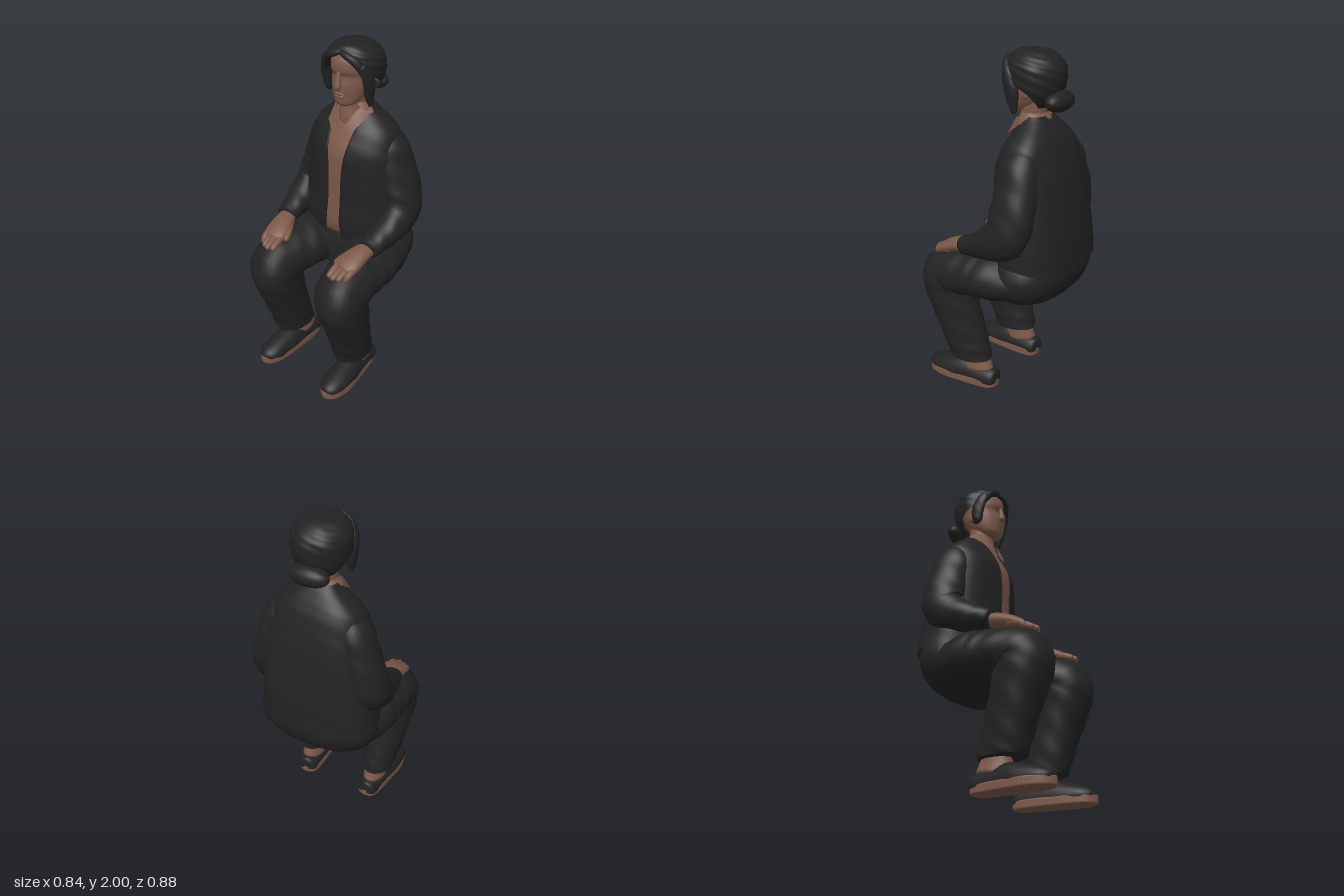
import * as THREE from 'three';
import { mergeVertices } from 'three/addons/utils/BufferGeometryUtils.js';

const cloth = new THREE.MeshStandardMaterial({ color: 0x222222, side: THREE.DoubleSide });
cloth.name = 'black cloth and hair';
const skin = new THREE.MeshStandardMaterial({ color: 0x7b5848, side: THREE.DoubleSide });
skin.name = 'warm brown';

// Smooth loft through elliptical sections [x, y, z, radiusX, radiusOther, frontGapAngle].
// Rings follow the path, or stay level when level is set; back < 1 squares the rear half.
function loft(sections, opts = {}) {
  const { n = 28, steps = 4, level = false, open = false, fold = 0, freq = 3, back = 1 } = opts;
  const curve = (f) => new THREE.CatmullRomCurve3(sections.map(f), false, 'catmullrom', 0.5);
  const path = curve((s) => new THREE.Vector3(s[0], s[1], s[2]));
  const size = curve((s) => new THREE.Vector3(s[3], s[4], s[5] || 0));
  const m = (sections.length - 1) * steps;
  const pos = [], idx = [], X = new THREE.Vector3(1, 0, 0);
  for (let i = 0; i <= m; i++) {
    const p = path.getPoint(i / m), s = size.getPoint(i / m);
    const t = level ? new THREE.Vector3(0, 1, 0) : path.getTangent(i / m);
    const a = X.clone().addScaledVector(t, -t.x).normalize();
    const b = t.clone().cross(a);
    const gap = Math.max(0, s.z);
    for (let j = 0; j <= n; j++) {
      const q = -Math.PI / 2 + gap + (j / n) * 2 * (Math.PI - gap);
      const k = 1 + fold * Math.sin(freq * q + i * 0.9) * Math.sin(i * 0.7);
      const e = Math.sin(q) > 0 ? back : 1;
      const c = Math.sign(Math.cos(q)) * Math.abs(Math.cos(q)) ** e;
      const d = Math.sign(Math.sin(q)) * Math.abs(Math.sin(q)) ** e;
      const v = p.clone().addScaledVector(a, c * s.x * k).addScaledVector(b, d * s.y * k);
      pos.push(v.x, v.y, v.z);
    }
  }
  const w = n + 1;
  for (let i = 0; i < m; i++) for (let j = 0; j < n; j++) {
    const c = i * w + j;
    idx.push(c, c + 1, c + w, c + 1, c + w + 1, c + w);
  }
  if (!open) for (const i of [0, m]) {
    const p = path.getPoint(i / m), c = pos.length / 3;
    pos.push(p.x, p.y, p.z);
    for (let j = 0; j < n; j++) {
      const d = i * w + j;
      if (i) idx.push(d, d + 1, c); else idx.push(d + 1, d, c);
    }
  }
  const g = new THREE.BufferGeometry();
  g.setAttribute('position', new THREE.Float32BufferAttribute(pos, 3));
  g.setIndex(idx);
  const merged = mergeVertices(g, 1e-5);
  merged.computeVertexNormals();
  return merged;
}

// Flattens everything below a height
function flatBottom(geo, y) {
  const v = geo.attributes.position;
  for (let i = 0; i < v.count; i++) v.setY(i, Math.max(v.getY(i), y));
  geo.computeVertexNormals();
  return geo;
}

// Level section from height, front z, back z, half width, front gap and sideways shift
const ring = (y, front, back, w, gap = 0, x = 0) => [x, y, (front + back) / 2, w, (front - back) / 2, gap];

export function createModel() {
  const model = new THREE.Group();
  const add = (name, geo, mat, parent = model) => {
    const mesh = new THREE.Mesh(geo, mat);
    mesh.name = name;
    parent.add(mesh);
    return mesh;
  };
  const ball = (name, mat, p, r, parent) => {
    const mesh = add(name, new THREE.SphereGeometry(1, 24, 16), mat, parent);
    mesh.position.set(...p);
    mesh.scale.set(...r);
  };
  const flip = (s, list) => list.map(([x, ...rest]) => [x * s, ...rest]);

  // Torso: open jacket over a shirt
  const torso = [
    ring(0.82, 0.015, -0.434, 0.35, 0.18, -0.018), ring(0.95, 0.035, -0.43, 0.342, 0.15, -0.012),
    ring(1.1, 0.03, -0.415, 0.325, 0.145, -0.006), ring(1.3, 0.03, -0.385, 0.298, 0.17),
    ring(1.4, 0.02, -0.36, 0.285, 0.225), ring(1.5, -0.025, -0.328, 0.255, 0.31),
    ring(1.56, -0.06, -0.298, 0.2, 0.47), ring(1.62, -0.09, -0.26, 0.125, 1.0),
    ring(1.65, -0.11, -0.235, 0.095, 1.25),
  ];
  add('jacketBody', loft(torso, { level: true, open: true, n: 56, fold: 0.008, freq: 5, back: 0.74 }), cloth);
  const shirt = torso.slice(0, 8).map(([x, y, z, w, d]) => [x, Math.max(y, 0.865), z, w - 0.012, d - 0.007]);
  add('shirt', loft(shirt, { level: true, n: 40 }), skin);

  // Jacket front edges
  for (const s of [-1, 1]) {
    const edge = torso.slice(0, 8).map(([x, y, z, w, d, g]) =>
      new THREE.Vector3(x + s * w * Math.sin(g), y, z + d * Math.cos(g)));
    add('jacketEdge', new THREE.TubeGeometry(new THREE.CatmullRomCurve3(edge), 40, 0.005, 6), cloth);
  }

  // Seat of the trousers
  add('trouserSeat', loft([
    ring(0.615, -0.12, -0.28, 0.16), ring(0.64, 0.02, -0.36, 0.29), ring(0.7, 0.035, -0.405, 0.345),
    ring(0.78, 0.03, -0.428, 0.362), ring(0.85, 0.01, -0.42, 0.34), ring(0.92, -0.03, -0.39, 0.29),
  ], { level: true, n: 40, back: 0.8 }), cloth);

  // Collar: band around the neck and two pointed flaps
  add('collarBand', loft([ring(1.6, -0.06, -0.262, 0.125, 0.9), ring(1.63, -0.07, -0.252, 0.112, 0.8),
    ring(1.665, -0.085, -0.225, 0.085, 0.7)], { level: true, open: true }), skin);
  for (const s of [-1, 1]) {
    const p = flip(s, [[0.088, 1.662, -0.16], [0.07, 1.63, -0.075], [0.004, 1.515, -0.025],
      [0.045, 1.483, -0.01], [0.098, 1.55, -0.042], [0.13, 1.615, -0.15]]);
    const g = new THREE.BufferGeometry();
    g.setAttribute('position', new THREE.Float32BufferAttribute(p.flat(), 3));
    const order = [0, 5, 1, 1, 5, 4, 1, 4, 2, 2, 4, 3];
    g.setIndex(s < 0 ? order : order.reverse());
    g.computeVertexNormals();
    add('collarFlap', g, skin);
  }

  for (const s of [-1, 1]) {
    const side = s > 0 ? 'left' : 'right';

    // Sleeve
    const arm = new THREE.Group();
    arm.name = side + 'Arm';
    model.add(arm);
    add('sleeve', loft(flip(s, [
      [0.12, 1.5, -0.19, 0.02, 0.04], [0.2, 1.43, -0.2, 0.09, 0.11], [0.25, 1.3, -0.208, 0.098, 0.125],
      [0.297, 1.15, -0.21, 0.102, 0.13], [0.32, 1.04, -0.18, 0.099, 0.124], [0.318, 0.975, -0.06, 0.087, 0.09],
      [0.305, 0.94, 0.04, 0.073, 0.068], [0.3, 0.918, 0.115, 0.06, 0.055],
    ]), { fold: 0.045, n: 32 }), cloth, arm);

    // Hand resting on the thigh
    add('palm', loft(flip(s, [[0.3, 0.92, 0.08, 0.044, 0.04], [0.28, 0.907, 0.16, 0.062, 0.042],
      [0.264, 0.88, 0.24, 0.074, 0.036], [0.26, 0.858, 0.29, 0.062, 0.022]])), skin, arm);
    const fingers = [[0.315, 0.305, 0.325], [0.282, 0.273, 0.35], [0.25, 0.242, 0.362], [0.216, 0.21, 0.352]];
    for (const [x0, x1, z] of fingers) {
      add('finger', loft(flip(s, [[x0, 0.876, 0.22, 0.02, 0.024], [(x0 + x1) / 2, 0.86, 0.285, 0.021, 0.022],
        [x1, 0.838, z - 0.015, 0.018, 0.018], [x1, 0.828, z, 0.008, 0.008]]), { n: 12 }), skin, arm);
    }
    add('thumb', loft(flip(s, [[0.25, 0.905, 0.14, 0.026, 0.024], [0.212, 0.885, 0.2, 0.024, 0.022],
      [0.188, 0.865, 0.245, 0.018, 0.018], [0.182, 0.858, 0.262, 0.006, 0.006]]), { n: 12 }), skin, arm);

    // Trouser leg, bent at the knee, with a level hem
    const leg = new THREE.Group();
    leg.name = side + 'Leg';
    model.add(leg);
    const trouser = loft(flip(s, [
      [0.19, 0.75, -0.27, 0.15, 0.11], [0.21, 0.75, -0.07, 0.186, 0.145], [0.219, 0.742, 0.05, 0.182, 0.146],
      [0.234, 0.728, 0.16, 0.165, 0.142], [0.245, 0.688, 0.278, 0.15, 0.155], [0.247, 0.6, 0.266, 0.142, 0.162],
      [0.245, 0.45, 0.222, 0.126, 0.146], [0.238, 0.3, 0.177, 0.112, 0.138], [0.234, 0.2, 0.145, 0.1, 0.136],
      [0.232, 0.13, 0.127, 0.092, 0.13],
    ]), { fold: 0.04, n: 36 });
    add('trouserLeg', flatBottom(trouser, 0.172), cloth, leg);

    // Ankle and slip-on shoe
    const foot = new THREE.Group();
    foot.name = side + 'Foot';
    leg.add(foot);
    add('ankle', loft(flip(s, [[0.224, 0.24, 0.105, 0.05, 0.07], [0.225, 0.16, 0.1, 0.057, 0.09],
      [0.228, 0.09, 0.092, 0.066, 0.108]])), skin, foot);
    const upper = loft(flip(s, [
      [0.222, 0.045, -0.043, 0.032, 0.05], [0.223, 0.045, -0.025, 0.06, 0.066], [0.226, 0.045, 0.06, 0.07, 0.078],
      [0.233, 0.045, 0.17, 0.078, 0.1], [0.24, 0.045, 0.26, 0.083, 0.084], [0.244, 0.045, 0.36, 0.075, 0.058],
      [0.245, 0.045, 0.415, 0.05, 0.036], [0.245, 0.045, 0.436, 0.018, 0.014],
    ]));
    add('shoeUpper', flatBottom(upper, 0.03), cloth, foot);
    const outline = [[0.222, -0.041], [0.27, -0.022], [0.294, 0.06], [0.313, 0.2], [0.323, 0.3], [0.3, 0.4],
      [0.248, 0.438], [0.192, 0.405], [0.164, 0.3], [0.158, 0.2], [0.157, 0.06], [0.173, -0.022]];
    const curve = new THREE.CatmullRomCurve3(outline.map(([x, z]) => new THREE.Vector3(s * x, -z, 0)), true);
    const pts = curve.getPoints(48).slice(0, -1).map((p) => new THREE.Vector2(p.x, p.y));
    const sole = new THREE.ExtrudeGeometry(new THREE.Shape(pts), {
      depth: 0.032, bevelThickness: 0.008, bevelSize: 0.006, bevelOffset: -0.002, bevelSegments: 2,
    });
    sole.rotateX(-Math.PI / 2).translate(0, 0.008, 0);
    add('sole', sole, skin, foot);
  }

  // Head and neck
  const head = new THREE.Group();
  head.name = 'head';
  model.add(head);
  add('neck', loft([ring(1.44, -0.06, -0.2, 0.085), ring(1.56, -0.055, -0.215, 0.08),
    ring(1.64, -0.07, -0.215, 0.074), ring(1.75, -0.07, -0.22, 0.075)], { level: true }), skin, head);
  add('face', loft([
    ring(1.652, -0.035, -0.085, 0.025), ring(1.67, -0.018, -0.14, 0.064), ring(1.71, -0.012, -0.2, 0.09),
    ring(1.77, -0.008, -0.25, 0.106), ring(1.825, -0.016, -0.27, 0.112), ring(1.858, 0.0, -0.28, 0.113),
    ring(1.92, -0.008, -0.27, 0.108), ring(1.96, -0.06, -0.23, 0.07),
  ], { level: true }), skin, head);
  add('nose', loft([[0, 1.855, -0.01, 0.012, 0.008], [0, 1.81, 0.0, 0.015, 0.014], [0, 1.772, 0.004, 0.023, 0.02],
    [0, 1.755, -0.002, 0.012, 0.012]], { n: 14 }), skin, head);
  ball('upperLip', skin, [0, 1.727, -0.013], [0.032, 0.009, 0.008], head);
  ball('lowerLip', skin, [0, 1.712, -0.015], [0.027, 0.009, 0.008], head);
  for (const s of [-1, 1]) ball('ear', skin, [s * 0.105, 1.775, -0.155], [0.014, 0.036, 0.026], head);

  // Hair: swept cap, hanging side locks and a low bun
  const hair = new THREE.Group();
  hair.name = 'hair';
  head.add(hair);
  add('hairCap', loft([
    ring(1.695, -0.08, -0.24, 0.09, 2.3), ring(1.74, -0.04, -0.285, 0.132, 2.05), ring(1.79, -0.01, -0.312, 0.152, 1.65),
    ring(1.85, 0.0, -0.322, 0.16, 1.0), ring(1.9, 0.0, -0.318, 0.158, 0.8), ring(1.935, -0.004, -0.3, 0.145, 0.3),
    ring(1.965, -0.022, -0.27, 0.118, 0), ring(1.99, -0.055, -0.22, 0.078, 0), ring(2.0, -0.137, -0.139, 0.001, 0),
  ], { level: true, open: true, n: 56, fold: 0.022, freq: 7 }), cloth, hair);
  // Swept fringe strands and side locks
  for (const s of [-1, 1]) {
    add('fringe', loft(flip(s, [[-0.02, 1.962, -0.035, 0.012, 0.012], [0.04, 1.945, -0.015, 0.02, 0.018],
      [0.095, 1.915, -0.03, 0.022, 0.024], [0.13, 1.86, -0.065, 0.022, 0.034]]), { n: 14 }), cloth, hair);
    const low = s > 0 ? 1.665 : 1.7;
    add('sideLock', loft(flip(s, [
      [0.115, 1.9, -0.05, 0.025, 0.03], [0.135, 1.85, -0.072, 0.022, 0.04], [0.138, 1.79, -0.092, 0.024, 0.042],
      [0.134, 1.73, -0.098, 0.022, 0.034], [0.136, low, -0.11, 0.01, 0.014],
    ]), { n: 14, fold: 0.06 }), cloth, hair);
  }
  ball('bun', cloth, [-0.005, 1.733, -0.303], [0.115, 0.057, 0.06], hair);
  const tie = add('bunTwist', new THREE.TorusGeometry(0.045, 0.016, 10, 24), cloth, hair);
  tie.position.set(0, 1.735, -0.325);
  tie.scale.set(1.5, 0.85, 1);

  return model;
}
